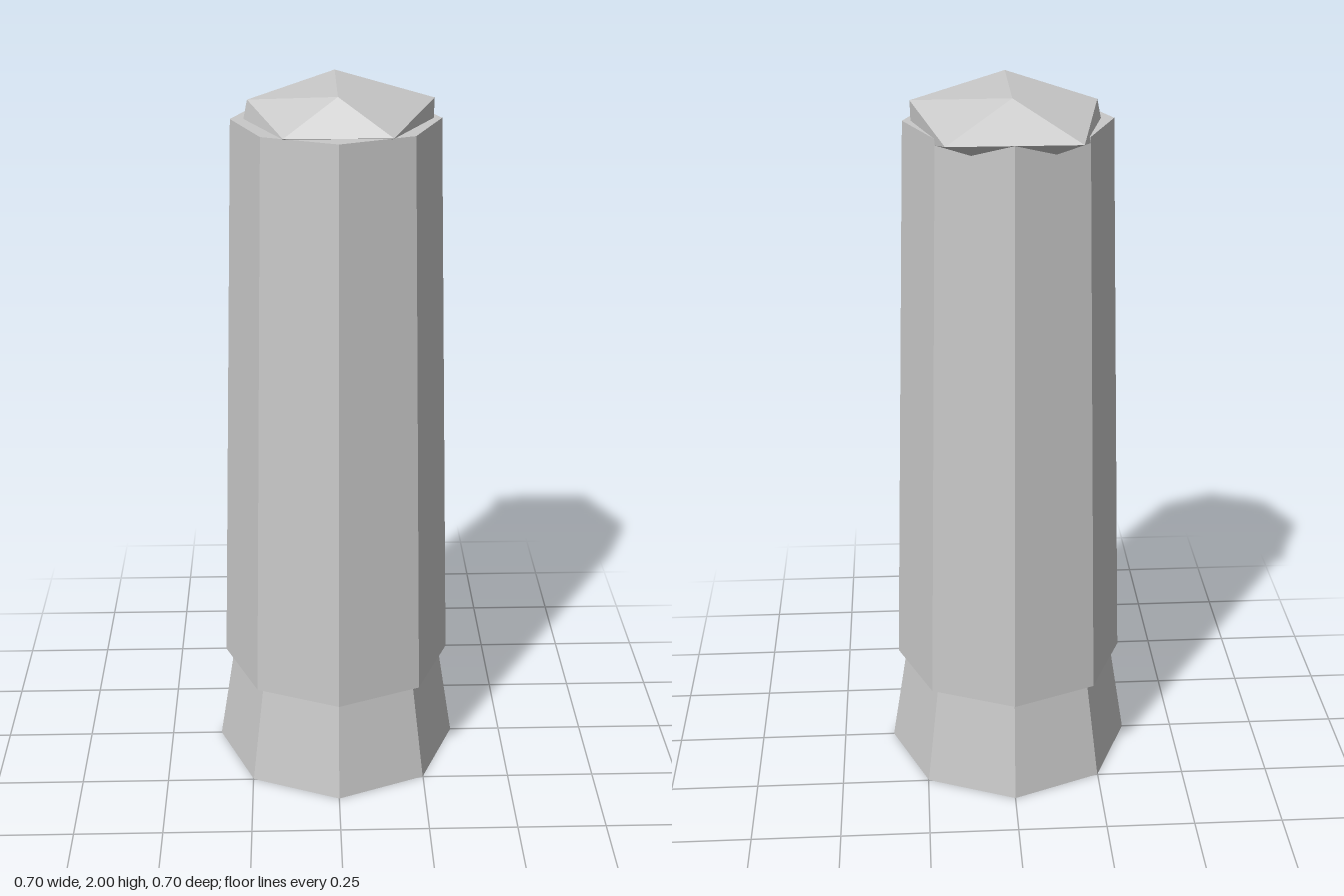
import * as THREE from 'three';
import { ConvexGeometry } from 'three/addons/geometries/ConvexGeometry.js';

export function createModel() {
  const group = new THREE.Group();
  const stone = new THREE.MeshStandardMaterial({ color: 0xc8c8c8, flatShading: true });
  stone.name = 'pale grey stone';

  const add = (name, geometry) => {
    const mesh = new THREE.Mesh(geometry, stone);
    mesh.name = name;
    group.add(mesh);
  };

  // Tapered eight-sided section standing between two heights
  const section = (name, bottomRadius, topRadius, y0, y1) =>
    add(name, new THREE.CylinderGeometry(topRadius, bottomRadius, y1 - y0, 8).translate(0, (y0 + y1) / 2, 0));

  section('base', 0.352, 0.305, 0, 0.3);
  section('shaft', 0.33, 0.28, 0.297, 1.906);

  // Rough capping stone: a squashed, uneven icosahedron sunk into the shaft
  const point = (x, y, z) => new THREE.Vector3(x, y, z);
  const corners = [
    point(0.259, 1.96, 0), point(-0.234, 1.957, 0),
    point(0.256, 1.85, 0), point(-0.256, 1.85, 0),
  ];
  for (const s of [-1, 1]) {
    corners.push(
      point(0, 2, s * 0.168), point(0, 1.815, s * 0.165),
      point(s * 0.174, 1.906, -0.28), point(s * 0.14, 1.907, 0.226),
    );
  }
  add('capStone', new ConvexGeometry(corners));

  return group;
}
